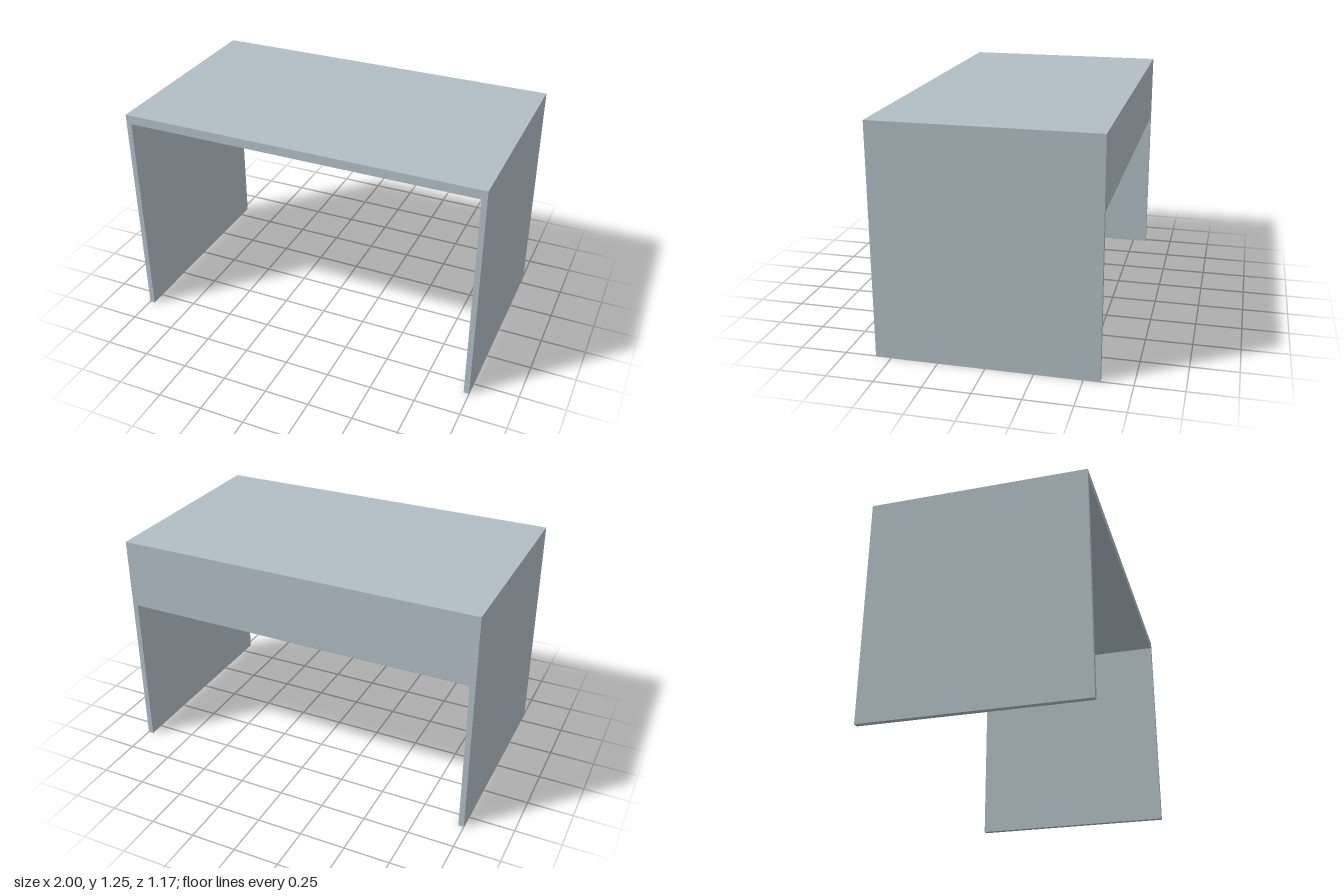
import * as THREE from 'three';

const WIDTH = 2, HEIGHT = 1.25, DEPTH = 1.17;
const TOP = 0.05, SIDE = 0.03, PANEL_BOTTOM = 0.87;

export function createModel() {
  const desk = new THREE.Group();
  desk.name = 'desk';

  const blueGrey = new THREE.MeshStandardMaterial({ color: 0xb0bec5 });
  blueGrey.name = 'blueGrey';

  function board(name, w, h, d, x, y, z) {
    const mesh = new THREE.Mesh(new THREE.BoxGeometry(w, h, d), blueGrey);
    mesh.name = name;
    mesh.position.set(x, y, z);
    desk.add(mesh);
  }

  // Table top across the full width
  board('tableTop', WIDTH, TOP, DEPTH, 0, HEIGHT - TOP / 2, 0);

  // Full-depth side panels that carry the top
  const sideHeight = HEIGHT - TOP;
  for (const [name, s] of [['leftSidePanel', 1], ['rightSidePanel', -1]]) {
    board(name, SIDE, sideHeight, DEPTH, s * (WIDTH - SIDE) / 2, sideHeight / 2, 0);
  }

  // Back panel between the sides, flush with the rear edge
  const panelHeight = sideHeight - PANEL_BOTTOM;
  board('backPanel', WIDTH - 2 * SIDE, panelHeight, SIDE,
    0, PANEL_BOTTOM + panelHeight / 2, -(DEPTH - SIDE) / 2);

  return desk;
}
